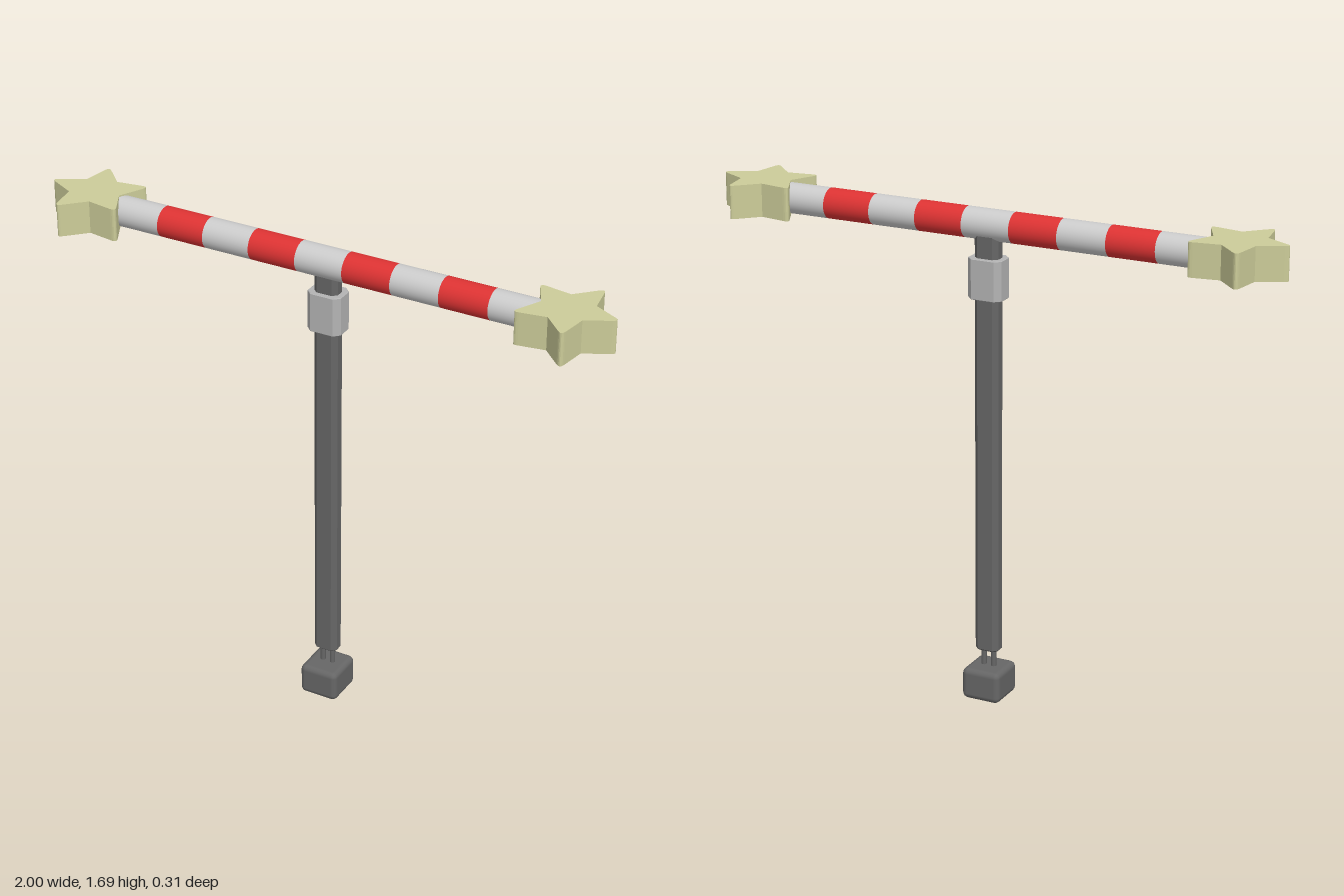
import * as THREE from 'three';
import { RoundedBoxGeometry } from 'three/addons/geometries/RoundedBoxGeometry.js';

const grey = new THREE.MeshStandardMaterial({ color: 0xcccccc });
const red = new THREE.MeshStandardMaterial({ color: 0xdd3333 });
const cream = new THREE.MeshStandardMaterial({ color: 0xcccc99 });
const dark = new THREE.MeshStandardMaterial({ color: 0x666666 });
const midGrey = new THREE.MeshStandardMaterial({ color: 0xb3b3b3 });

const POST_X = 0.01, POST_Z = -0.02, BAR_Y = 1.635;

// Upright prism with cut corners and slightly bevelled ends
function chamferedPrism(w, d, y0, y1, cut, bevel) {
  const x = w / 2 - bevel, y = d / 2 - bevel, c = cut;
  const shape = new THREE.Shape([
    [x, -y + c], [x, y - c], [x - c, y], [-x + c, y],
    [-x, y - c], [-x, -y + c], [-x + c, -y], [x - c, -y],
  ].map(([a, b]) => new THREE.Vector2(a, b)));
  const geo = new THREE.ExtrudeGeometry(shape, {
    depth: y1 - y0 - 2 * bevel, bevelThickness: bevel, bevelSize: bevel, bevelSegments: 1,
  });
  geo.translate(0, 0, bevel);
  geo.rotateX(-Math.PI / 2);
  return geo.translate(POST_X, y0, POST_Z);
}

// Five-pointed star with softly rounded tips, first tip along +x
function starGeometry(outer, inner, height) {
  const shape = new THREE.Shape();
  const at = (r, a) => new THREE.Vector2(Math.cos(a) * r, Math.sin(a) * r);
  for (let i = 0; i < 5; i++) {
    const a = (i * 2 * Math.PI) / 5;
    const tip = at(outer * 1.06, a);
    const before = at(inner, a - Math.PI / 5), after = at(inner, a + Math.PI / 5);
    const p = before.clone().lerp(tip, 0.78), q = after.clone().lerp(tip, 0.78);
    if (i === 0) shape.moveTo(before.x, before.y);
    shape.lineTo(p.x, p.y);
    shape.quadraticCurveTo(tip.x, tip.y, q.x, q.y);
    shape.lineTo(after.x, after.y);
  }
  const geo = new THREE.ExtrudeGeometry(shape, { depth: height, bevelEnabled: false, curveSegments: 6 });
  geo.rotateX(-Math.PI / 2);
  geo.computeBoundingBox();
  return geo.translate(outer - geo.boundingBox.max.x, 0, 0);
}

export function createModel() {
  const model = new THREE.Group();
  const add = (name, geo, mat, parent = model) => {
    const mesh = new THREE.Mesh(geo, mat);
    mesh.name = name;
    parent.add(mesh);
    return mesh;
  };

  // Foot block and the two pins that join it to the post
  add('foot', new RoundedBoxGeometry(0.138, 0.11, 0.144, 2, 0.02), dark).position.set(POST_X, 0.055, -0.018);
  for (const s of [-1, 1]) {
    add(s < 0 ? 'rightPin' : 'leftPin', new THREE.CylinderGeometry(0.009, 0.009, 0.1, 12), dark)
      .position.set(POST_X + s * 0.018, 0.14, POST_Z);
  }

  // Post and collar
  add('post', chamferedPrism(0.085, 0.058, 0.168, 1.61, 0.012, 0.006), dark);
  add('collar', chamferedPrism(0.12, 0.09, 1.395, 1.53, 0.018, 0.002), midGrey);

  // Striped crossbar
  const bar = new THREE.Group();
  bar.name = 'crossbar';
  bar.position.set(0.005, BAR_Y, -0.01);
  model.add(bar);
  const count = 9, step = 0.168;
  for (let i = 0; i < count; i++) {
    const geo = new THREE.CylinderGeometry(0.051, 0.051, step, 32).rotateZ(Math.PI / 2);
    add('stripe' + (i + 1), geo, i % 2 ? red : grey, bar).position.x = (i - (count - 1) / 2) * step;
  }

  // Star end caps, tips pointing outwards
  const R = 0.163, h = 0.112;
  for (const s of [-1, 1]) {
    const star = add(s < 0 ? 'rightStar' : 'leftStar', starGeometry(R, 0.088, h), cream);
    star.position.set(s * (1 - R), BAR_Y - h / 2, 0);
    if (s < 0) star.rotation.y = Math.PI;
  }
  return model;
}
